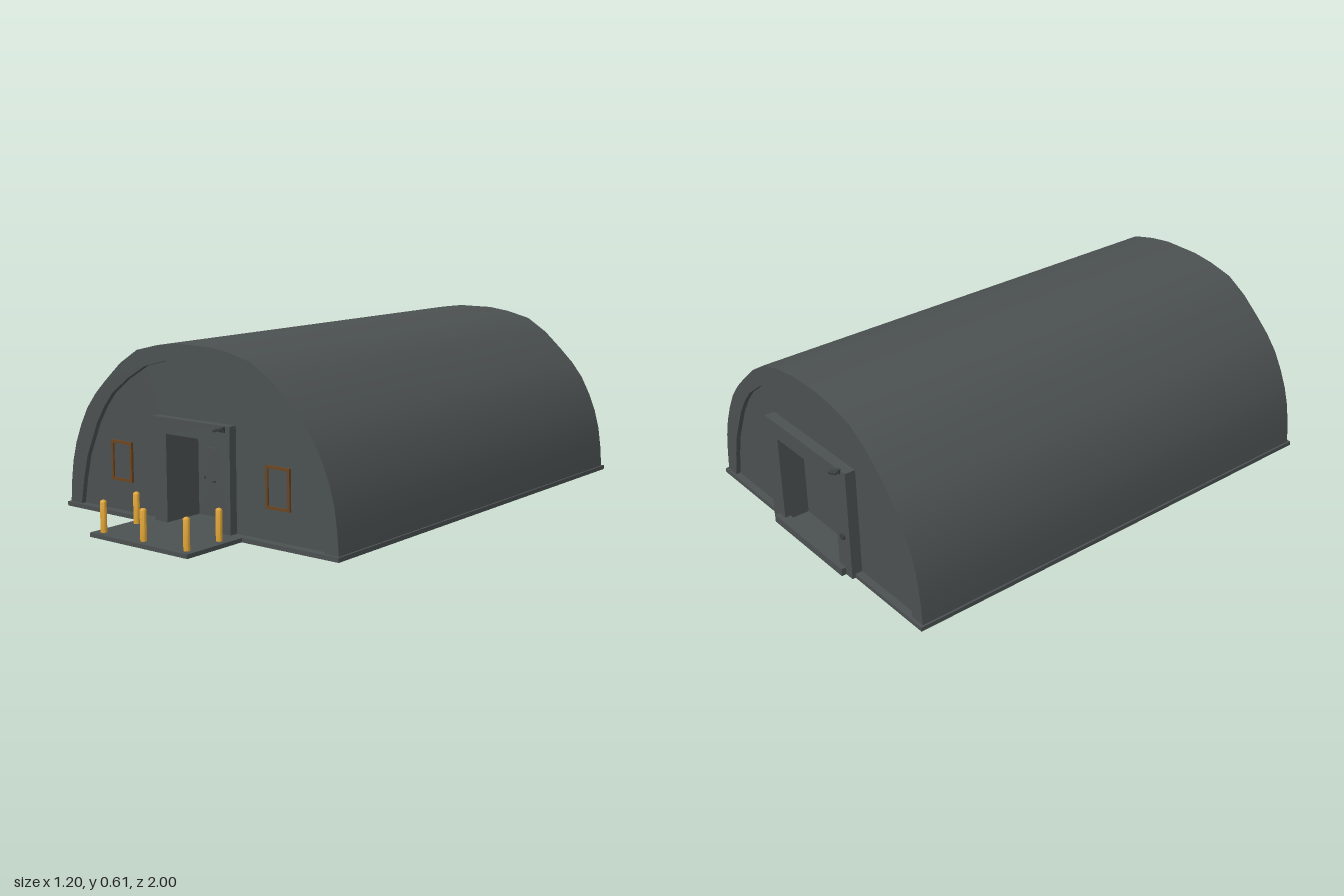
import * as THREE from 'three';
import { toCreasedNormals } from 'three/addons/utils/BufferGeometryUtils.js';

const make = (name, hex) => {
  const m = new THREE.MeshStandardMaterial({ color: hex });
  m.name = name;
  return m;
};

// Half arches from the foot to the crown, mirrored into full outlines
const OUTER = [[0.593, 0.015], [0.587, 0.09], [0.576, 0.165], [0.558, 0.23], [0.531, 0.295], [0.497, 0.358],
  [0.453, 0.413], [0.402, 0.462], [0.33, 0.526], [0.25, 0.576], [0.155, 0.599], [0.07, 0.61]];
const INNER = [[0.54, 0.015], [0.523, 0.11], [0.503, 0.19], [0.452, 0.308], [0.412, 0.372], [0.372, 0.42],
  [0.3, 0.475], [0.215, 0.525], [0.12, 0.55], [0.06, 0.557]];
const arch = (half) => [
  ...half.map(([x, y]) => new THREE.Vector2(x, y)),
  ...[...half].reverse().map(([x, y]) => new THREE.Vector2(-x, y)),
];

// Extrude a shape between two z positions
function slice(shape, z0, z1) {
  const g = new THREE.ExtrudeGeometry(shape, { depth: z1 - z0, bevelEnabled: false });
  return g.translate(0, 0, z0);
}

export function createModel() {
  const root = new THREE.Group();
  root.name = 'archedShelter';
  const steel = make('slate grey', 0x4b5051);
  const dark = make('dark grey', 0x3a3f40);
  const yellow = make('safety yellow', 0xdba032);
  const brown = make('rust brown', 0x6a4521);

  const add = (name, geo, mat, parent = root) => {
    const m = new THREE.Mesh(geo, mat);
    m.name = name;
    parent.add(m);
    return m;
  };
  const box = (name, x0, x1, y0, y1, z0, z1, mat = steel, parent = root) => {
    const m = add(name, new THREE.BoxGeometry(x1 - x0, y1 - y0, z1 - z0), mat, parent);
    m.position.set((x0 + x1) / 2, (y0 + y1) / 2, (z0 + z1) / 2);
    return m;
  };

  // Floor plate inside a slightly deeper foundation kerb, and the entrance pad
  box('floor', -0.57, 0.57, 0.007, 0.015, -0.93, 0.72);
  for (const s of [-1, 1]) {
    box('sideKerb', s * 0.585 - 0.015, s * 0.585 + 0.015, 0, 0.015, -0.96, 0.75);
    box('sideSeam', s * 0.562 - 0.003, s * 0.562 + 0.003, 0.004, 0.008, -0.92, 0.71, brown);
  }
  box('frontKerb', -0.57, 0.57, 0, 0.015, 0.72, 0.75);
  box('backKerb', -0.57, 0.57, 0, 0.015, -0.96, -0.93);
  box('entrancePad', -0.215, 0.215, 0.001, 0.015, 0.75, 1.0);

  // Anchor bolts under the floor
  const bolt = new THREE.CylinderGeometry(0.009, 0.009, 0.006, 8);
  for (const [x, z] of [[0.4, -0.875], [0.2, -0.865], [0.15, 0.515]]) {
    for (const s of [-1, 1]) add('anchorBolt', bolt, yellow).position.set(s * x, 0.005, z);
  }

  // Vaulted shell with a thick rim at both ends
  const shellShape = new THREE.Shape([...arch(OUTER), ...arch(INNER).reverse()]);
  add('vaultedShell', toCreasedNormals(slice(shellShape, -0.95, 0.74), 0.6), steel);

  // Recessed end walls, notched at the doorways
  const MIDDLE = OUTER.map(([x, y]) => [x * 0.955, Math.max(0.015, y * 0.955)]);
  const endWall = (name, doorHalf, doorTop, z0, z1) => {
    const outline = [...arch(MIDDLE),
      new THREE.Vector2(-doorHalf, 0.015), new THREE.Vector2(-doorHalf, doorTop),
      new THREE.Vector2(doorHalf, doorTop), new THREE.Vector2(doorHalf, 0.015)];
    add(name, slice(new THREE.Shape(outline), z0, z1), steel);
  };
  endWall('frontWall', 0.15, 0.34, 0.70, 0.722);
  endWall('backWall', 0.2, 0.37, -0.934, -0.91);

  // Door surrounds, each a deep U-shaped portal whose posts pass through the floor
  const portal = (name, w, top, iw, itop, z0, z1) => {
    const pts = [[-w, 0], [-iw, 0], [-iw, itop], [iw, itop], [iw, 0], [w, 0], [w, top], [-w, top]];
    add(name, slice(new THREE.Shape(pts.map(([x, y]) => new THREE.Vector2(x, y))), z0, z1), steel);
  };
  portal('frontPortal', 0.168, 0.366, 0.111, 0.312, 0.56, 0.752);
  portal('backPortal', 0.24, 0.4, 0.168, 0.34, -0.972, -0.82);

  // Inner door at the end of the front vestibule
  box('vestibuleWall', -0.12, 0.12, 0.015, 0.32, 0.58, 0.6);
  box('innerDoor', -0.065, 0.062, 0.03, 0.25, 0.6, 0.606);
  box('doorHandle', -0.038, -0.027, 0.136, 0.14, 0.606, 0.616, dark);
  box('doorSwitch', -0.082, -0.078, 0.142, 0.148, 0.6, 0.605, dark);

  // Rear loading door, sill and push button
  box('rearDoor', -0.175, 0.175, 0.015, 0.35, -0.88, -0.86);
  box('rearSill', -0.205, 0.205, 0.001, 0.028, -0.99, -0.95);
  const button = add('rearButton', new THREE.CylinderGeometry(0.011, 0.011, 0.01, 12), dark);
  button.rotation.x = Math.PI / 2;
  button.position.set(-0.205, 0.15, -0.975);

  // Windows with thin rust-coloured frames
  for (const s of [-1, 1]) {
    const win = new THREE.Group();
    win.name = 'window';
    win.position.set(s * 0.345, 0.188, 0.722);
    root.add(win);
    box('pane', -0.04, 0.04, -0.06, 0.06, 0, 0.003, steel, win);
    for (const t of [-1, 1]) {
      box('frameUpright', t * 0.044 - 0.0045, t * 0.044 + 0.0045, -0.069, 0.069, 0, 0.009, brown, win);
      box('frameRail', -0.0395, 0.0395, t * 0.0645 - 0.0045, t * 0.0645 + 0.0045, 0, 0.009, brown, win);
    }
  }

  // Small lamps on arms above the doors
  const lamp = (name, x, y, z, turn) => {
    const g = new THREE.Group();
    g.name = name;
    g.position.set(x, y, z);
    g.rotation.y = turn;
    root.add(g);
    box('lampPlate', -0.006, 0.006, -0.008, 0.008, -0.004, 0.004, dark, g);
    box('lampArm', -0.003, 0.003, -0.003, 0.003, 0, 0.02, dark, g);
    const head = box('lampHead', -0.018, 0.018, 0.002, 0.009, 0.01, 0.028, dark, g);
    head.rotation.set(0.25, 0.25, 0.2);
  };
  lamp('frontLamp', 0.143, 0.353, 0.755, 0);
  lamp('rearLamp', -0.207, 0.395, -0.972, Math.PI);

  // Domed yellow bollards around the pad
  const profile = [[0, 0], [0.011, 0], [0.011, 0.115], [0.007, 0.12], [0, 0.122]];
  const post = toCreasedNormals(
    new THREE.LatheGeometry(profile.map(([x, y]) => new THREE.Vector2(x, y)), 12), 0.7);
  for (const [x, z] of [[-0.183, 0.822], [0.183, 0.822], [-0.183, 0.968], [-0.003, 0.968], [0.183, 0.968]]) {
    add('bollard', post, yellow).position.set(x, 0, z);
  }
  return root;
}
